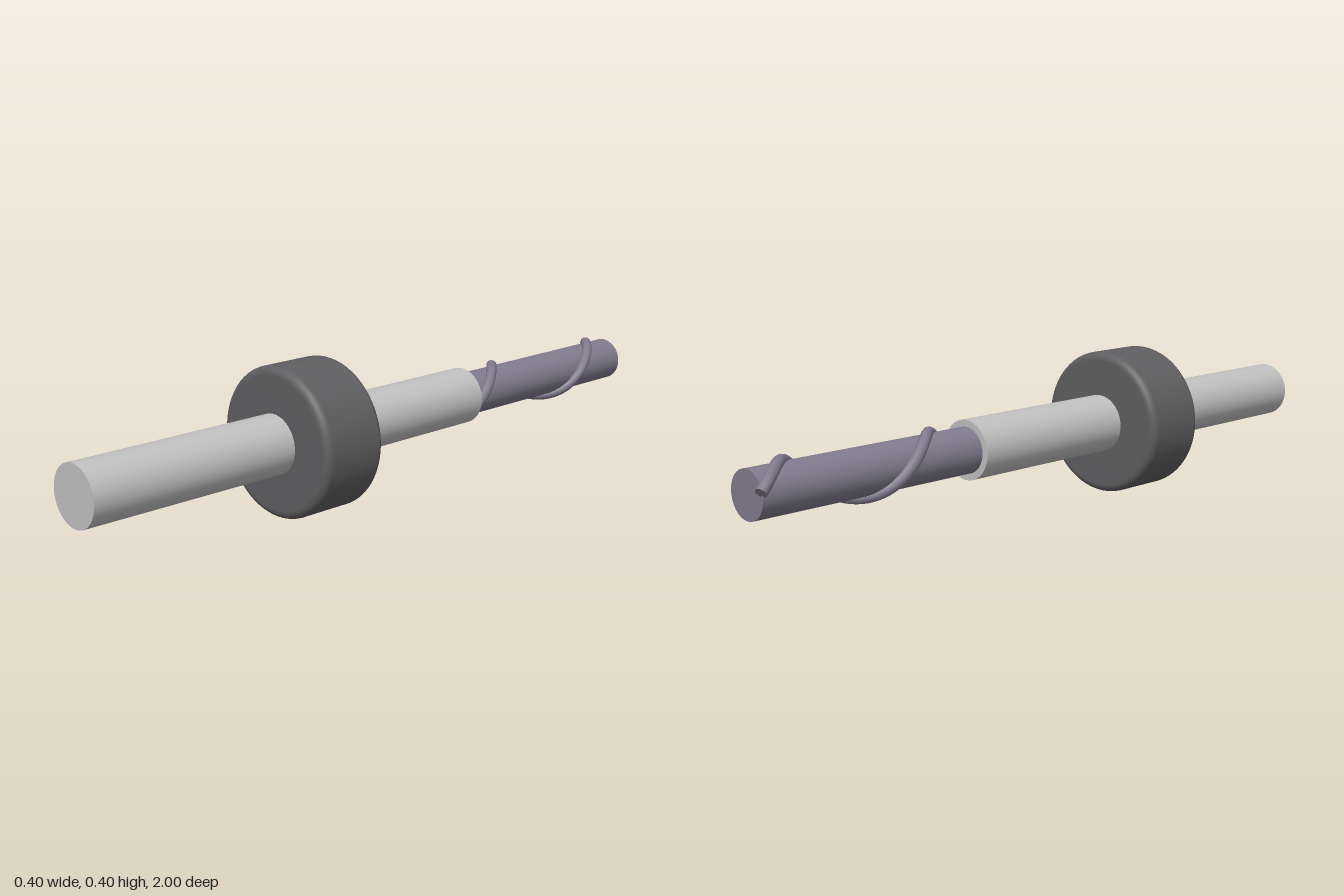
import * as THREE from 'three';

const AXIS_Y = 0.2; // height of the common centre line

const material = (name, color) => {
  const m = new THREE.MeshStandardMaterial({ color });
  m.name = name;
  return m;
};

export function createModel() {
  const group = new THREE.Group();
  group.name = 'drillBit';
  const lightSteel = material('light steel', 0xc0c0c0);
  const darkGrey = material('dark grey', 0x5f5f61);
  const drillSteel = material('drill steel', 0x807b8e);

  const add = (name, geometry, mat) => {
    const mesh = new THREE.Mesh(geometry, mat);
    mesh.name = name;
    group.add(mesh);
  };

  // Cylinder lying along z between two depths
  const rod = (radius, back, front) =>
    new THREE.CylinderGeometry(radius, radius, front - back, 48)
      .rotateX(Math.PI / 2)
      .translate(0, AXIS_Y, (back + front) / 2);

  add('shank', rod(0.079, -0.31, 1), lightSteel);
  add('bit', rod(0.061, -0.985, -0.3), drillSteel);

  // Depth-stop collar: ring with rounded rims
  const half = 0.098, outer = 0.199, inner = 0.07, bevel = 0.022;
  const profile = [new THREE.Vector2(inner, -half)];
  for (const side of [-1, 1]) {
    for (let i = 0; i <= 6; i++) {
      const a = (side < 0 ? i / 6 - 1 : i / 6) * Math.PI / 2;
      profile.push(new THREE.Vector2(
        outer - bevel + bevel * Math.cos(a),
        side * (half - bevel) + bevel * Math.sin(a)));
    }
  }
  profile.push(new THREE.Vector2(inner, half));
  add('collar', new THREE.LatheGeometry(profile, 64)
    .rotateX(Math.PI / 2).translate(0, AXIS_Y, 0.303), darkGrey);

  // Spiral ridge wound one and a half turns around the bit
  const startZ = -0.31, endZ = -0.99, startAngle = -0.25, turns = 1.5;
  const points = [];
  for (let i = 0; i <= 36; i++) {
    const t = i / 36, a = startAngle + t * turns * Math.PI * 2;
    points.push(new THREE.Vector3(
      0.063 * Math.cos(a), AXIS_Y + 0.063 * Math.sin(a),
      startZ + t * (endZ - startZ)));
  }
  const path = new THREE.CatmullRomCurve3(points);
  add('spiralRidge', new THREE.TubeGeometry(path, 120, 0.015, 10), drillSteel);

  // Closed ends of the ridge
  for (const t of [0, 1]) {
    const direction = path.getTangentAt(t).multiplyScalar(t ? 1 : -1);
    const turn = new THREE.Quaternion().setFromUnitVectors(new THREE.Vector3(0, 0, 1), direction);
    const p = path.getPointAt(t);
    add('ridgeEnd', new THREE.CircleGeometry(0.015, 16)
      .applyQuaternion(turn).translate(p.x, p.y, p.z), drillSteel);
  }

  return group;
}
